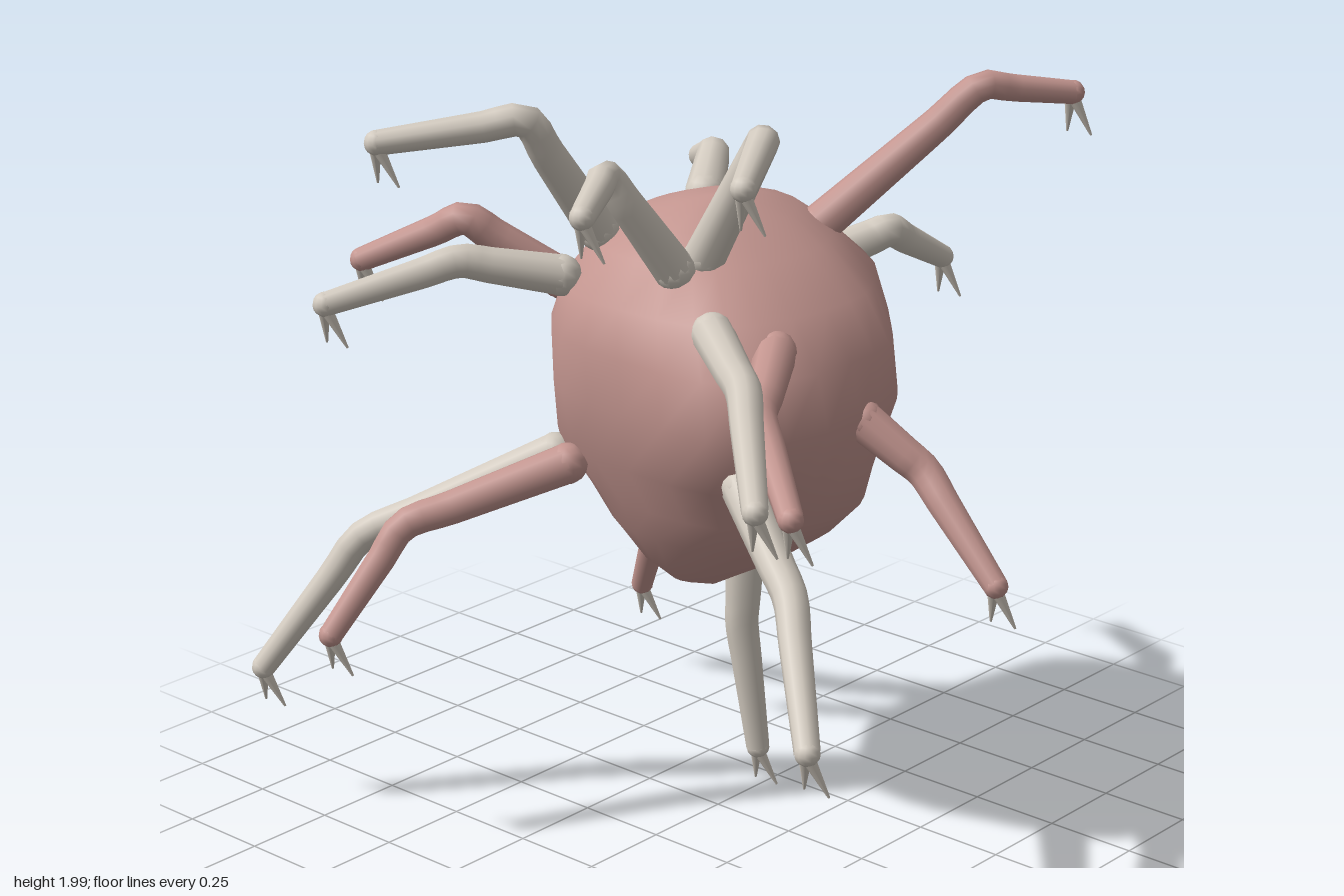
import * as THREE from 'three';
import { mergeGeometries } from 'three/addons/utils/BufferGeometryUtils.js';

const pink = new THREE.MeshStandardMaterial({ color: 0xc49690 });
const bone = new THREE.MeshStandardMaterial({ color: 0xd2cabf });
const V = (p) => new THREE.Vector3(...p);

// Lumpy body lofted from closed cross-sections: [y, xMin, xMax, zMin, zMax]
const RINGS = [
  [0.65, -0.03, -0.01, -0.01, 0.01],
  [0.69, -0.12, 0.06, -0.11, 0.12],
  [0.75, -0.21, 0.17, -0.22, 0.19],
  [0.86, -0.3, 0.33, -0.31, 0.28],
  [0.95, -0.38, 0.42, -0.37, 0.32],
  [1.07, -0.48, 0.46, -0.44, 0.38],
  [1.24, -0.48, 0.51, -0.55, 0.44],
  [1.38, -0.48, 0.48, -0.53, 0.43],
  [1.5, -0.42, 0.4, -0.49, 0.4],
  [1.6, -0.34, 0.26, -0.38, 0.29],
  [1.66, -0.24, 0.15, -0.29, 0.2],
  [1.7, -0.12, 0.06, -0.15, 0.1],
  [1.71, -0.03, -0.01, -0.03, -0.01],
];
// Plan outline of the widest section, as [x, z] in -1..1
const PLAN = [
  [1, 0.2], [0.97, 0.72], [0.66, 1], [0.05, 0.94], [-0.42, 0.88], [-0.75, 0.6], [-0.96, 0.25],
  [-1, -0.15], [-0.95, -0.6], [-0.82, -0.96], [-0.4, -1], [0.3, -0.82], [0.68, -0.45], [0.93, -0.18],
];

function bodyGeometry() {
  const n = 28;
  const plan = new THREE.CatmullRomCurve3(PLAN.map(([x, z]) => new THREE.Vector3(x, 0, z)), true);
  const pos = [], index = [];
  RINGS.forEach(([y, x0, x1, z0, z1], r) => {
    // The plan is angular at the waist and rounder towards the poles
    const round = Math.min(1, Math.abs(y - 1.25) / 0.5);
    for (let i = 0; i < n; i++) {
      const p = plan.getPoint(i / n);
      const a = Math.atan2(p.z, p.x);
      const x = THREE.MathUtils.lerp(p.x, Math.cos(a), round);
      const z = THREE.MathUtils.lerp(p.z, Math.sin(a), round);
      pos.push((x0 + x1) / 2 + x * (x1 - x0) / 2, y, (z0 + z1) / 2 + z * (z1 - z0) / 2);
      if (r < RINGS.length - 1) {
        const j = (i + 1) % n, a0 = r * n + i, b0 = r * n + j;
        index.push(a0, a0 + n, b0, b0, a0 + n, b0 + n);
      }
    }
  });
  // Close both poles
  for (let i = 1; i < n - 1; i++) {
    const t = (RINGS.length - 1) * n;
    index.push(0, i, i + 1, t, t + i + 1, t + i);
  }
  const g = new THREE.BufferGeometry();
  g.setAttribute('position', new THREE.Float32BufferAttribute(pos, 3));
  g.setIndex(index);
  g.computeVertexNormals();
  return g;
}

// Tapered bent tube with rounded ends through base, elbow and wrist
function limbGeometry(base, elbow, wrist, r0 = 0.054, r1 = 0.032) {
  const mid = (a, b, t) => a.clone().lerp(b, t);
  const path = new THREE.CatmullRomCurve3(
    [base, mid(base, elbow, 0.7), elbow, mid(elbow, wrist, 0.3), wrist]);
  const steps = 20, sides = 10;
  const tube = new THREE.TubeGeometry(path, steps, 1, sides);
  const pos = tube.attributes.position, v = new THREE.Vector3();
  for (let i = 0; i <= steps; i++) {
    const c = path.getPointAt(i / steps);
    const r = THREE.MathUtils.lerp(r0, r1, i / steps);
    for (let j = 0; j <= sides; j++) {
      const k = i * (sides + 1) + j;
      v.fromBufferAttribute(pos, k).sub(c).multiplyScalar(r).add(c);
      pos.setXYZ(k, v.x, v.y, v.z);
    }
  }
  const cap = (r, p) => new THREE.SphereGeometry(r, 12, 8).translate(p.x, p.y, p.z);
  return mergeGeometries([tube, cap(r0, base), cap(r1, wrist)]);
}

// Two pointed prongs hanging below the wrist, splayed sideways
function makeClaw(wrist) {
  const claw = new THREE.Group();
  claw.name = 'claw';
  for (const s of [-1, 1]) {
    const dir = new THREE.Vector3(s * 0.032, -0.1, -0.036);
    const prong = new THREE.Mesh(new THREE.CylinderGeometry(0.003, 0.016, dir.length(), 8), bone);
    prong.name = 'prong';
    prong.position.copy(wrist).add(new THREE.Vector3(s * 0.006, -0.015, 0)).addScaledVector(dir, 0.5);
    prong.quaternion.setFromUnitVectors(new THREE.Vector3(0, 1, 0), dir.normalize());
    claw.add(prong);
  }
  return claw;
}

// Limbs: base, elbow, wrist
const PINK_LIMBS = [
  [[0.11, 1.6, -0.27], [0.4, 1.96, -0.57], [0.52, 1.92, -0.8]],
  [[0.48, 1.22, 0], [0.62, 1.1, -0.07], [0.87, 0.86, -0.05]],
  [[0.38, 1.43, 0.22], [0.55, 1.37, 0.48], [0.8, 1.22, 0.66]],
  [[-0.2, 1.04, 0.36], [-0.46, 0.9, 0.7], [-0.55, 0.63, 0.88]],
  [[-0.4, 1.45, 0.16], [-0.57, 1.62, 0.34], [-0.85, 1.48, 0.45]],
  [[-0.38, 0.95, -0.3], [-0.53, 0.65, -0.37], [-0.75, 0.3, -0.52]],
];
const BONE_LIMBS = [
  [[0, 1.46, -0.45], [0.08, 1.51, -0.6], [0.07, 1.38, -0.85]],
  [[0.37, 1.1, 0.33], [0.65, 0.93, 0.48], [0.89, 0.67, 0.7]],
  [[0.27, 1.48, 0.33], [0.5, 1.42, 0.48], [0.76, 1.25, 0.74]],
  [[0.13, 1.62, 0.2], [0.32, 1.95, 0.2], [0.48, 1.91, 0.46]],
  [[0.1, 1.6, 0.28], [0.03, 1.86, 0.45], [0.12, 1.81, 0.63]],
  [[-0.21, 1.63, 0.22], [-0.25, 1.95, 0.44], [-0.51, 1.9, 0.7]],
  [[-0.24, 1.53, 0.33], [-0.4, 1.58, 0.53], [-0.6, 1.49, 0.81]],
  [[-0.3, 1.03, 0.3], [-0.7, 0.79, 0.62], [-0.9, 0.42, 0.81]],
  [[-0.24, 1.63, -0.22], [-0.35, 1.69, -0.38], [-0.54, 1.62, -0.54]],
  [[0, 0.72, -0.11], [-0.02, 0.5, -0.12], [0, 0.125, -0.165]],
];

export function createModel() {
  const model = new THREE.Group();
  model.name = 'creature';
  const body = new THREE.Mesh(bodyGeometry(), pink);
  body.name = 'body';
  model.add(body);

  const addLimbs = (list, material, name) => list.forEach((points) => {
    const [base, elbow, wrist] = points.map(V);
    const limb = new THREE.Group();
    limb.name = name;
    const arm = new THREE.Mesh(limbGeometry(base, elbow, wrist), material);
    arm.name = 'arm';
    limb.add(arm, makeClaw(wrist));
    model.add(limb);
  });
  addLimbs(PINK_LIMBS, pink, 'pinkLimb');
  addLimbs(BONE_LIMBS, bone, 'paleLimb');
  return model;
}
